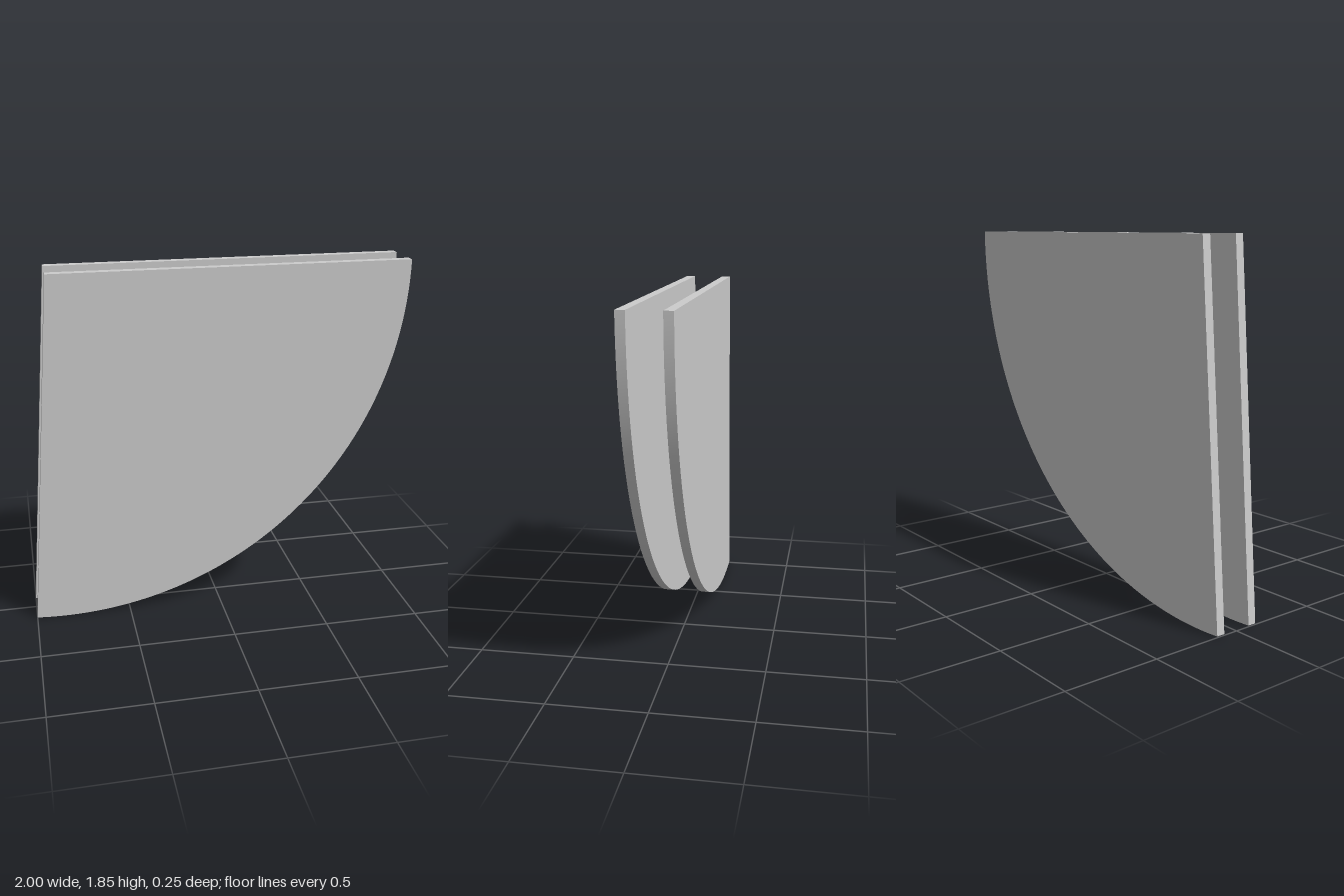
import * as THREE from 'three';
import { toCreasedNormals } from 'three/addons/utils/BufferGeometryUtils.js';

const RADIUS = 1.854;
const CORNER = { x: -0.854, y: 1.854 }; // centre of the arc
const SWEEP = Math.PI / 2 + Math.asin(0.146 / RADIUS); // slightly over a quarter turn
const THICKNESS = 0.046;
const GAP = 0.162;

export function createModel() {
  const model = new THREE.Group();
  model.name = 'sectorPlates';

  // Circular sector: straight top edge, curved rim, slanted side
  const sector = new THREE.Shape();
  sector.moveTo(CORNER.x, CORNER.y);
  sector.lineTo(CORNER.x + RADIUS, CORNER.y);
  sector.absarc(CORNER.x, CORNER.y, RADIUS, 0, -SWEEP, true);
  sector.closePath();

  const geometry = toCreasedNormals(
    new THREE.ExtrudeGeometry(sector, { depth: THICKNESS, bevelEnabled: false, curveSegments: 48 }),
    0.5
  );
  const material = new THREE.MeshStandardMaterial({ color: 0xcccccc });

  // Two identical parallel plates
  for (const [name, z] of [['frontPlate', GAP / 2], ['backPlate', -GAP / 2 - THICKNESS]]) {
    const plate = new THREE.Mesh(geometry, material);
    plate.name = name;
    plate.position.z = z;
    model.add(plate);
  }
  return model;
}
